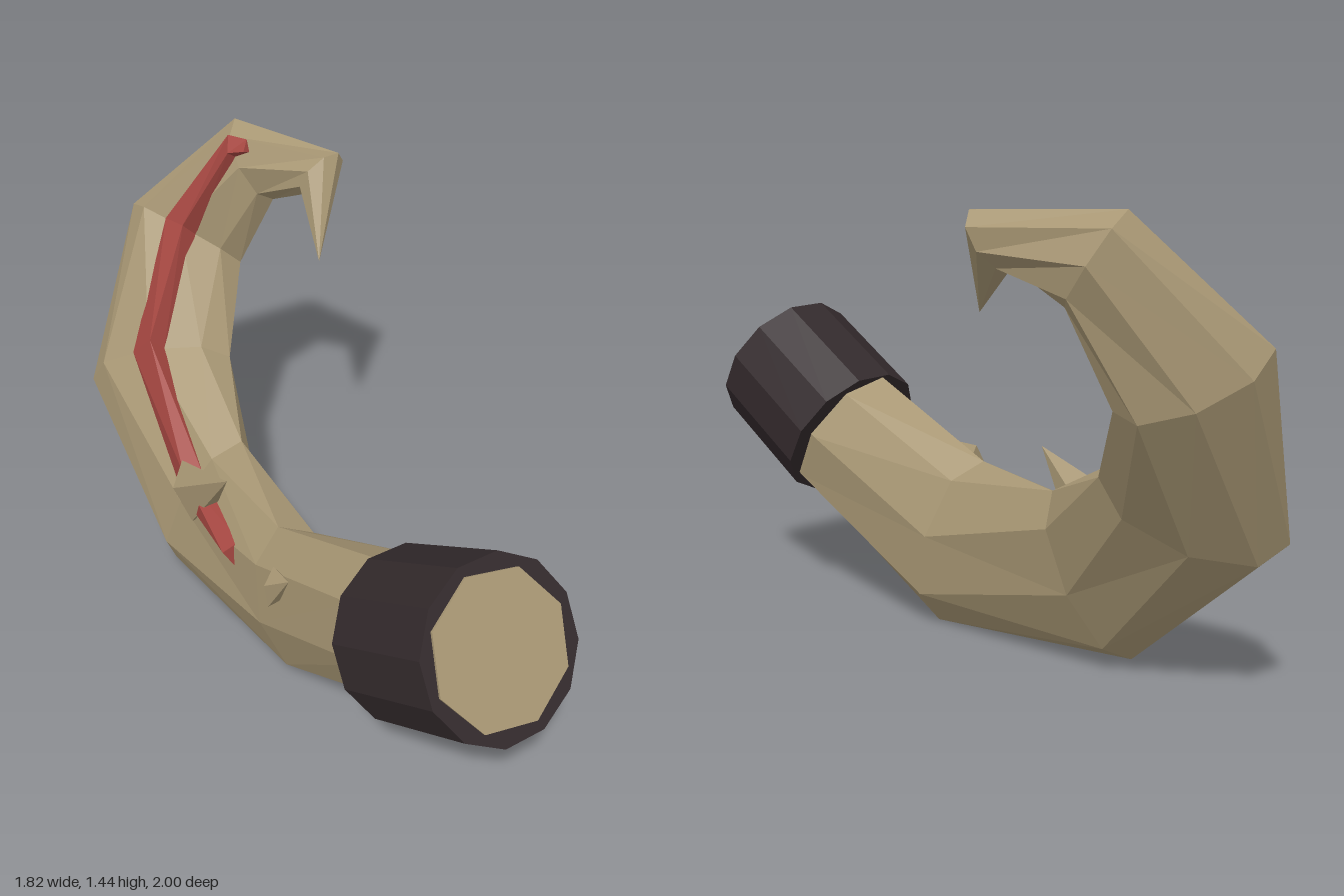
import * as THREE from 'three';

const V = (a) => new THREE.Vector3(...a);

// Horn cross-sections: centre, vector to the outer edge, vector to the front side
const RINGS = [
  [[0.712, 0.802, 0.792], [0.116, -0.193, 0.047], [-0.138, -0.028, 0.182]],
  [[0.44, 0.57, 0.52], [0.126, -0.21, 0.05], [-0.114, -0.024, 0.15]],
  [[0.035, 0.285, 0.16], [0.075, -0.28, 0.02], [-0.115, -0.04, 0.09]],
  [[-0.385, 0.30, -0.26], [-0.125, -0.27, 0.015], [-0.08, 0.04, 0.07]],
  [[-0.645, 0.60, -0.61], [-0.265, -0.09, -0.01], [-0.02, 0.115, 0.06]],
  [[-0.60, 1.01, -0.885], [-0.20, 0.085, -0.02], [0, 0.07, 0.08]],
  [[-0.35, 1.315, -0.90], [-0.075, 0.125, -0.04], [-0.03, 0.01, 0.098]],
  [[-0.085, 1.355, -0.755], [0.055, 0.075, -0.01], [-0.035, 0.03, 0.055]],
  [[-0.05, 1.14, -0.55], [0, 0, 0], [0, 0, 0]],
].map((r) => r.map(V));

// Ring at a fractional index along the horn
function ringAt(t) {
  const i = Math.min(Math.floor(t), RINGS.length - 2);
  return RINGS[i].map((p, k) => p.clone().lerp(RINGS[i + 1][k], t - i));
}

// Point in a ring's own coordinates
const onRing = ([c, u, v], a, b) => c.clone().addScaledVector(u, a).addScaledVector(v, b);

// Regular polygon in a ring's own coordinates
const polygon = (ring, n) => Array.from({ length: n }, (_, j) =>
  onRing(ring, Math.cos(j * 2 * Math.PI / n), Math.sin(j * 2 * Math.PI / n)));

// Skin a list of closed sections and cap both ends
function loft(sections) {
  const n = sections[0].length;
  const pos = [];
  const tri = (...pts) => pts.forEach((p) => pos.push(p.x, p.y, p.z));
  for (let i = 0; i < sections.length - 1; i++) {
    for (let j = 0; j < n; j++) {
      const k = (j + 1) % n;
      const [a, b, c, d] = [sections[i][j], sections[i][k], sections[i + 1][k], sections[i + 1][j]];
      tri(a, b, d);
      tri(b, c, d);
    }
  }
  const first = sections[0], last = sections[sections.length - 1];
  for (let j = 1; j < n - 1; j++) {
    tri(first[0], first[j + 1], first[j]);
    tri(last[0], last[j], last[j + 1]);
  }
  const geo = new THREE.BufferGeometry();
  geo.setAttribute('position', new THREE.Float32BufferAttribute(pos, 3));
  geo.computeVertexNormals();
  return geo;
}

export function createModel() {
  const group = new THREE.Group();
  const material = (name, color) => {
    const m = new THREE.MeshStandardMaterial({ color, flatShading: true });
    m.name = name;
    return m;
  };
  const bone = material('bone', 0xa89774);
  const dark = material('darkCollar', 0x332a2c);
  const red = material('redStripe', 0xa34640);

  const add = (name, geo, mat) => {
    const mesh = new THREE.Mesh(geo, mat);
    mesh.name = name;
    group.add(mesh);
    return mesh;
  };

  // Curved eight-sided horn with a hooked tip
  add('horn', loft(RINGS.map((ring) => polygon(ring, 8))), bone);

  // Collar around the wide end
  const from = V([0.44, 0.573, 0.543]), to = V([0.71, 0.797, 0.787]);
  const collar = add('collar', new THREE.CylinderGeometry(0.264, 0.264, from.distanceTo(to), 12), dark);
  collar.position.copy(from).lerp(to, 0.5);
  collar.quaternion.setFromUnitVectors(new THREE.Vector3(0, 1, 0), to.clone().sub(from).normalize());

  // Raised stripe: position along the horn, offset to the outer edge, half width
  const surface = (a) => 1 - 0.414 * Math.abs(a);
  const stripe = [[2.3, -0.42, 0.16], [3, -0.30, 0.2], [4, 0, 0.22], [5, 0, 0.27], [6, 0.5, 0.25], [6.2, 0.58, 0.16]]
    .map(([t, a, w]) => {
      const ring = ringAt(t);
      return [
        onRing(ring, a + w, surface(a + w) + 0.06),
        onRing(ring, a - 0.1, surface(a) + 0.42),
        onRing(ring, a - w, surface(a - w) + 0.02),
      ];
    });
  add('stripe', loft(stripe), red);

  // Leaning thorns: base centre, two base axes, tip
  const thorns = [
    ['largeThorn', [[-0.40, 0.43, -0.14], [-0.04, 0.115, -0.02], [-0.05, 0, 0.045]], [-0.23, 0.64, 0.04]],
    ['smallThorn', [[-0.01, 0.49, 0.34], [0, 0.085, 0], [-0.025, 0, 0.03]], [0.05, 0.575, 0.4]],
  ];
  for (const [name, base, tip] of thorns) {
    add(name, loft([polygon(base.map(V), 5), Array(5).fill(V(tip))]), bone);
  }

  return group;
}
